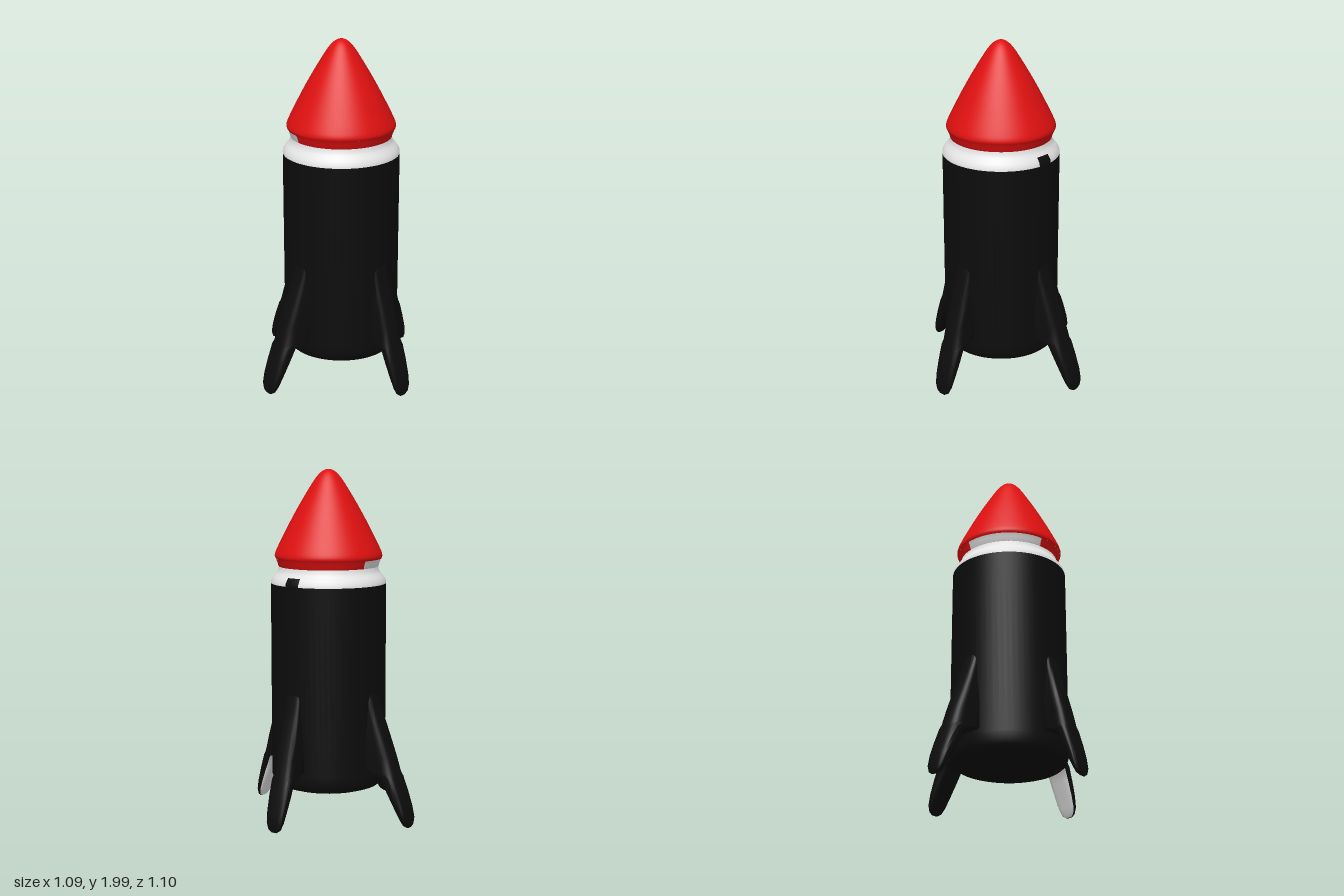
import * as THREE from 'three';
import { toCreasedNormals } from 'three/addons/utils/BufferGeometryUtils.js';

const AXIS_Z = 0.03; // the hull axis sits slightly forward of the centre

function material(name, color) {
  const m = new THREE.MeshStandardMaterial({ color });
  m.name = name;
  return m;
}

// Fin sections from tip to root: height, inner radius, outer radius, half width, root flare
const FIN = [
  [0.01, 0.534, 0.544, 0.02, 0],
  [0.025, 0.522, 0.547, 0.042, 0],
  [0.06, 0.505, 0.547, 0.056, 0],
  [0.12, 0.474, 0.534, 0.063, 0],
  [0.2, 0.432, 0.508, 0.068, 0],
  [0.285, 0.388, 0.478, 0.07, 0],
  [0.31, 0.29, 0.47, 0.07, 0.25],
  [0.4, 0.28, 0.443, 0.068, 0.3],
  [0.5, 0.28, 0.408, 0.065, 0.35],
  [0.6, 0.28, 0.373, 0.06, 0.4],
  [0.68, 0.28, 0.347, 0.056, 0.4],
  [0.76, 0.28, 0.326, 0.05, 0.4],
];

// Lofts the fin outward along +z; stretch adapts its reach, shear swings it sideways
function finGeometry(stretch, shear) {
  const n = 28, pos = [], outer = [], inner = [];
  const round = (v) => Math.sign(v) * Math.pow(Math.abs(v), 0.6);
  for (const [y, r0, r1, hw, flare] of FIN) {
    for (let j = 0; j < n; j++) {
      const a = (j / n) * Math.PI * 2;
      const s = round(Math.sin(a));
      const r = (r0 + r1) / 2 - (s * (r1 - r0)) / 2;
      const x = hw * round(Math.cos(a)) * (1 + flare * Math.max(0, s));
      pos.push(x + (r - 0.33) * shear, y, 0.33 + (r - 0.33) * stretch);
    }
  }
  for (let i = 0; i < FIN.length - 1; i++) {
    for (let j = 0; j < n; j++) {
      const k = (j + 1) % n;
      const a = i * n + j, b = i * n + k, c = a + n, d = b + n;
      const facesHull = i < 6 && Math.sin(((j + 0.5) / n) * Math.PI * 2) > 0.35;
      (facesHull ? inner : outer).push(a, b, d, a, d, c);
    }
  }
  // tip cap
  for (let j = 1; j < n - 1; j++) outer.push(0, j + 1, j);
  const g = new THREE.BufferGeometry();
  g.setAttribute('position', new THREE.Float32BufferAttribute(pos, 3));
  g.setIndex([...outer, ...inner]);
  g.addGroup(0, outer.length, 0);
  g.addGroup(outer.length, inner.length, 1);
  return toCreasedNormals(g, 0.9);
}

export function createModel() {
  const black = material('black', 0x0c0c0c);
  const red = material('red', 0xe01010);
  const white = material('white', 0xe6e6e6);
  const model = new THREE.Group();
  model.name = 'rocket';
  const rocket = new THREE.Group();
  rocket.name = 'rocketBody';
  rocket.position.z = AXIS_Z;
  model.add(rocket);

  function add(name, geometry, mat) {
    const mesh = new THREE.Mesh(geometry, mat);
    mesh.name = name;
    rocket.add(mesh);
    return mesh;
  }
  function lathe(name, points, mat, start = 0, length = Math.PI * 2) {
    const pts = points.map(([r, y]) => new THREE.Vector2(r, y));
    const segments = Math.max(6, Math.round((64 * length) / (Math.PI * 2)));
    return add(name, new THREE.LatheGeometry(pts, segments, start, length), mat);
  }

  // Hull with a rounded base
  lathe('hull', [[0, 0.17], [0.2, 0.172], [0.26, 0.178], [0.3, 0.192], [0.32, 0.21],
    [0.329, 0.24], [0.33, 0.28], [0.33, 1.355]], black);

  // Collar, with a small dark notch on the left
  const low = [[0.33, 1.355], [0.328, 1.372], [0.317, 1.39], [0.308, 1.402]];
  const notchStart = 1.42, notchLength = 0.28;
  lathe('collar', low, white, notchStart + notchLength, Math.PI * 2 - notchLength);
  lathe('collarNotch', low, black, notchStart, notchLength);
  lathe('collarNeck', [[0.308, 1.402], [0.295, 1.418], [0.286, 1.435], [0.283, 1.455]], white);

  // Nose lip: red, with a white stretch around the back right
  const lip = [[0.28, 1.448], [0.286, 1.452], [0.292, 1.475], [0.301, 1.495]];
  const patchStart = Math.PI * 0.95, patchLength = Math.PI * 0.5;
  lathe('noseLip', lip, red, patchStart + patchLength, Math.PI * 2 - patchLength);
  lathe('noseLipPatch', lip, white, patchStart, patchLength);

  // Nose cone
  const profile = [[0.301, 1.495], [0.307, 1.508], [0.305, 1.525], [0.295, 1.55], [0.27, 1.602],
    [0.22, 1.7], [0.165, 1.8], [0.105, 1.9], [0.072, 1.95], [0.045, 1.98], [0.02, 1.996], [0, 2]];
  const curve = new THREE.SplineCurve(profile.map(([r, y]) => new THREE.Vector2(r, y)));
  lathe('noseCone', curve.getPoints(44).map((p) => [Math.max(0, p.x), p.y]), red);

  // Four fins; the front one has a white inner face
  const fins = [
    ['frontFin', 0, 0.86, 0, white],
    ['leftFin', Math.PI / 2, 1, 0.17, black],
    ['backFin', Math.PI, 1.16, 0, black],
    ['rightFin', -Math.PI / 2, 1, -0.17, black],
  ];
  for (const [name, turn, stretch, shear, innerMat] of fins) {
    add(name, finGeometry(stretch, shear), [black, innerMat]).rotation.y = turn;
  }
  return model;
}
